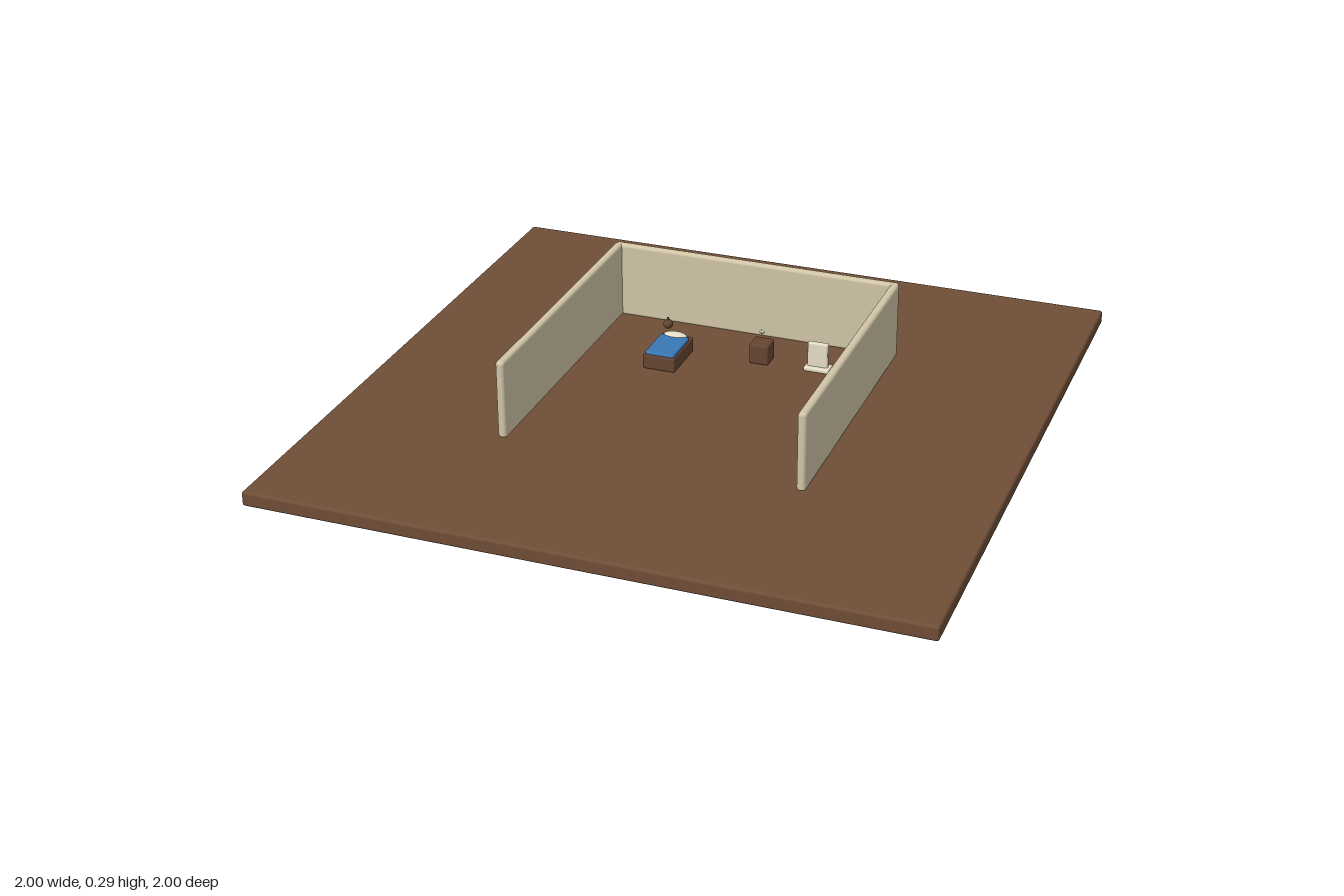
import * as THREE from 'three';
import { RoundedBoxGeometry } from 'three/addons/geometries/RoundedBoxGeometry.js';

function paint(name, color) {
  const m = new THREE.MeshStandardMaterial({ color });
  m.name = name;
  return m;
}

export function createModel() {
  const room = new THREE.Group();
  room.name = 'room';
  const earth = paint('earth brown', 0x6f4e37);
  const wood = paint('wood brown', 0x664532);
  const plaster = paint('plaster', 0xd2c6a8);
  const blue = paint('blanket blue', 0x3a78b4);
  const cream = paint('cream', 0xe8dfc8);

  const add = (parent, name, geometry, material, x, y, z) => {
    const mesh = new THREE.Mesh(geometry, material);
    mesh.name = name;
    mesh.position.set(x, y, z);
    parent.add(mesh);
    return mesh;
  };
  // Rounded block standing on height y
  const block = (parent, name, mat, w, h, d, x, y, z, r = 0.006) =>
    add(parent, name, new RoundedBoxGeometry(w, h, d, 3, r), mat, x, y + h / 2, z);
  const group = (name) => {
    const g = new THREE.Group();
    g.name = name;
    room.add(g);
    return g;
  };

  // Ground slab and three walls
  const floorTop = 0.045;
  block(room, 'floor', earth, 2, floorTop, 2, 0, 0, 0, 0.008);
  block(room, 'backWall', plaster, 0.93, 0.245, 0.027, 0, 0.041, -0.458, 0.01);
  for (const [side, name] of [[1, 'leftWall'], [-1, 'rightWall']]) {
    block(room, name, plaster, 0.027, 0.245, 0.92, side * 0.454, 0.041, -0.003, 0.01);
  }

  // Bed with blanket and pillow
  const bed = group('bed');
  block(bed, 'bedFrame', wood, 0.104, 0.048, 0.168, -0.184, floorTop, -0.184);
  block(bed, 'blanket', blue, 0.094, 0.016, 0.138, -0.184, 0.086, -0.174);
  const pillow = add(bed, 'pillow', new THREE.SphereGeometry(1, 20, 12), cream, -0.184, 0.1, -0.245);
  pillow.scale.set(0.038, 0.011, 0.019);

  // Hanging ball above the bed, with its small cap
  const lamp = group('hangingBall');
  add(lamp, 'ball', new THREE.SphereGeometry(0.015, 16, 12), wood, -0.184, 0.167, -0.184);
  add(lamp, 'cap', new THREE.CylinderGeometry(0.003, 0.004, 0.008, 10), wood, -0.184, 0.185, -0.184);

  // Bedside cabinet and the small light floating over it
  const stand = group('bedsideCabinet');
  block(stand, 'cabinet', wood, 0.062, 0.066, 0.062, 0.088, floorTop, -0.276);
  add(stand, 'light', new THREE.OctahedronGeometry(0.01), cream, 0.088, 0.143, -0.276);

  // Upright tablet on a low base
  const tablet = group('tablet');
  block(tablet, 'base', cream, 0.08, 0.014, 0.048, 0.27, floorTop, -0.276, 0.005);
  block(tablet, 'panel', cream, 0.064, 0.085, 0.018, 0.27, 0.051, -0.276, 0.004);

  return room;
}
